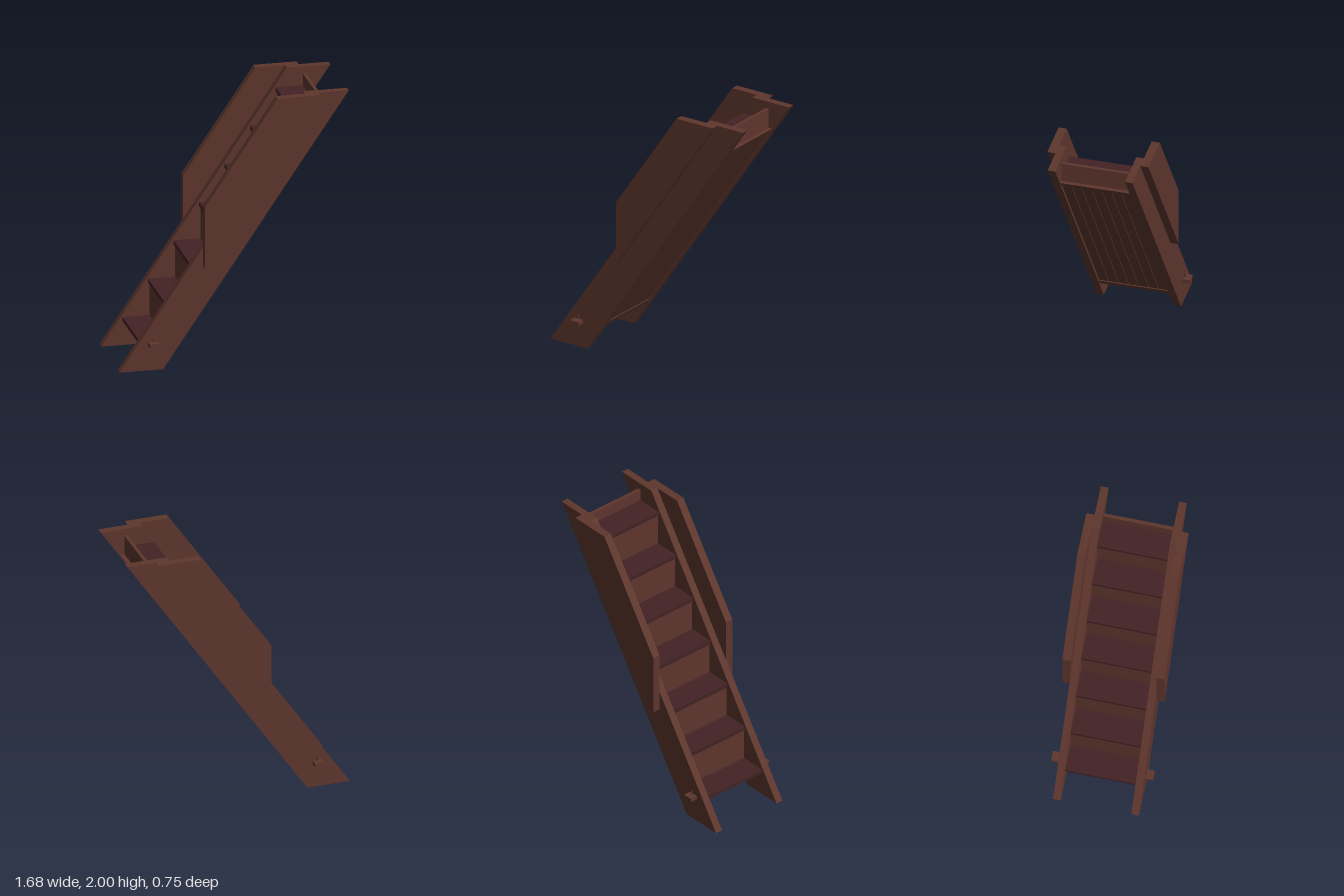
import * as THREE from 'three';

const wood = new THREE.MeshStandardMaterial({ color: 0x5e362d });
wood.name = 'brown wood';
const treadWood = new THREE.MeshStandardMaterial({ color: 0x432325 });
treadWood.name = 'dark red wood';

const RUN = 0.68; // x gained per unit of height

export function createModel() {
  const group = new THREE.Group();

  function add(name, geometry, material, x = 0, y = 0, z = 0) {
    const mesh = new THREE.Mesh(geometry, material);
    mesh.name = name;
    mesh.position.set(x, y, z);
    group.add(mesh);
  }
  // box given by its limits
  function box(name, material, x0, x1, y0, y1, z0, z1) {
    add(name, new THREE.BoxGeometry(x1 - x0, y1 - y0, z1 - z0), material,
      (x0 + x1) / 2, (y0 + y1) / 2, (z0 + z1) / 2);
  }
  // side outline extruded from z0 to z1
  function plate(name, points, z0, z1) {
    const shape = new THREE.Shape(points.map(([x, y]) => new THREE.Vector2(x, y)));
    add(name, new THREE.ExtrudeGeometry(shape, { depth: z1 - z0, bevelEnabled: false }), wood, 0, 0, z0);
  }
  // plank parallel to the slope; front and back are x offsets at y = 0
  function slopedPlank(name, back, front, y0, y1, z0, z1) {
    plate(name, [
      [back + RUN * y0, y0], [front + RUN * y0, y0],
      [front + RUN * y1, y1], [back + RUN * y1, y1],
    ], z0, z1);
  }

  for (const side of [1, -1]) {
    const span = (a, b) => (side > 0 ? [a, b] : [-b, -a]);
    const label = side > 0 ? 'front' : 'back';
    // stringers and the outer rail panels
    slopedPlank(label + 'Stringer', -0.84, -0.52, 0, 2, ...span(0.257, 0.313));
    plate(label + 'RailPanel', [[-0.226, 0.755], [0.62, 2], [0.304, 2], [-0.226, 1.222]],
      ...span(0.313, 0.373));
    // small foot peg with an upright pin
    box(label + 'Peg', wood, -0.63, -0.557, 0.184, 0.213, ...span(0.313, 0.37));
    add(label + 'PegPin', new THREE.CylinderGeometry(0.006, 0.006, 0.035, 10), wood,
      -0.592, 0.23, side * 0.323);
  }

  // treads and risers
  for (let i = 0; i < 7; i++) {
    const x = -0.683 + i * 0.187;
    const y = 0.212 + i * 0.2745;
    box('tread', treadWood, x, x + 0.223, y - 0.03, y, -0.257, 0.257);
    if (i < 6) box('riser', wood, x + 0.198, x + 0.222, y, y + 0.2445, -0.257, 0.257);
  }
  // board closing the top step
  box('topBoard', wood, 0.638, 0.663, 1.79, 1.947, -0.257, 0.257);

  // underside: two cross rails and seven slats
  slopedPlank('bottomRail', -0.585, -0.529, 0.182, 0.222, -0.257, 0.257);
  slopedPlank('topRail', -0.585, -0.529, 1.76, 1.8, -0.257, 0.257);
  const pitch = 0.514 / 7;
  for (let i = 0; i < 7; i++) {
    const z = -0.257 + i * pitch;
    slopedPlank('undersideSlat', -0.57, -0.54, 0.222, 1.76, z + 0.002, z + pitch - 0.002);
  }
  return group;
}
